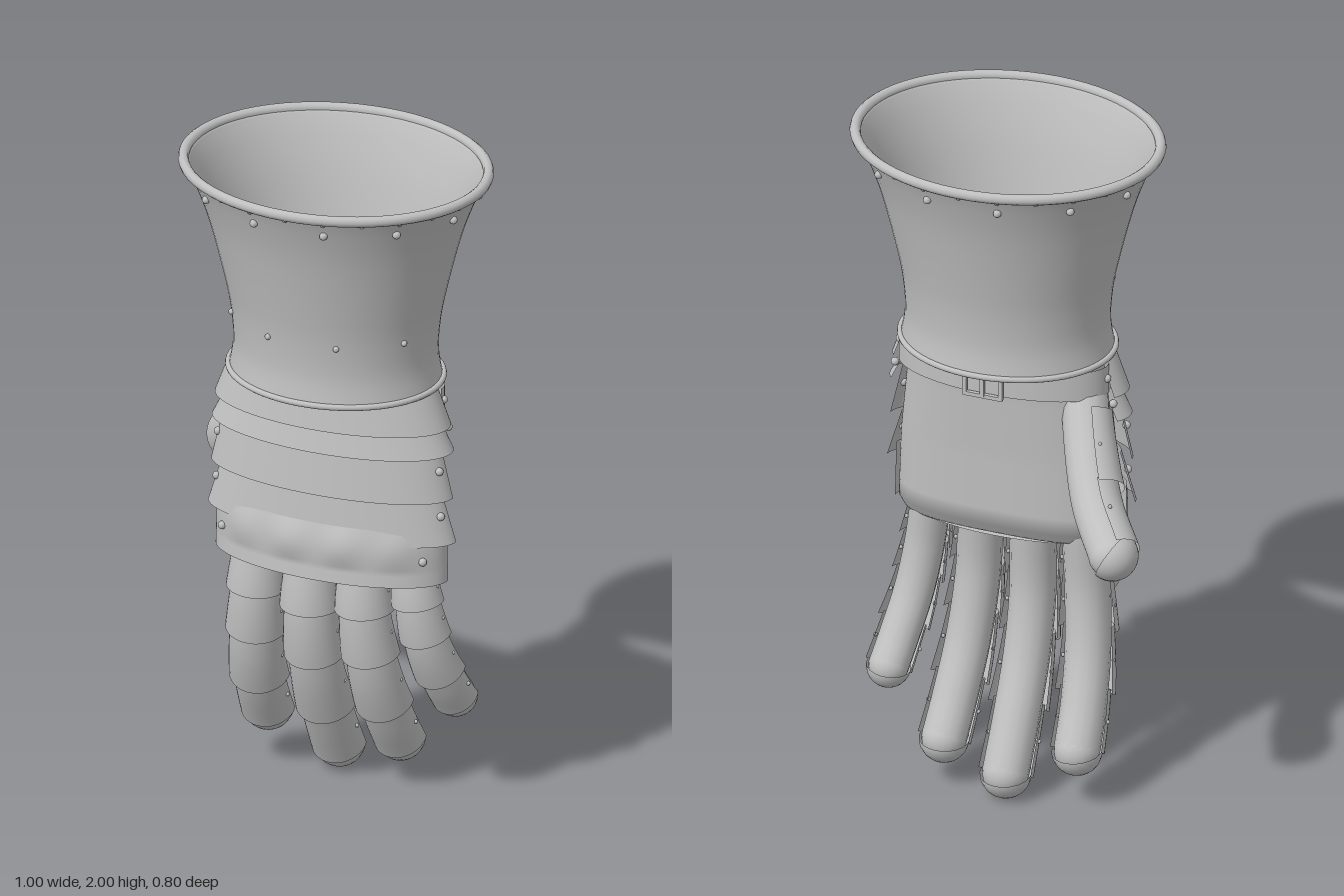
import * as THREE from 'three';
import { ParametricGeometry } from 'three/addons/geometries/ParametricGeometry.js';

const steel = new THREE.MeshStandardMaterial({ color: 0xc0c0c0, side: THREE.DoubleSide });
steel.name = 'steel';
const CX = 0.037; // centre of the cuff and hand in x
const V = (x, y, z) => new THREE.Vector3(x, y, z);

function add(parent, name, geometry, x = 0, y = 0, z = 0) {
  const m = new THREE.Mesh(geometry, steel);
  m.name = name;
  m.position.set(x, y, z);
  parent.add(m);
  return m;
}

function group(parent, name) {
  const g = new THREE.Group();
  g.name = name;
  parent.add(g);
  return g;
}

const rivetGeo = new THREE.SphereGeometry(1, 10, 8);
function rivet(parent, x, y, z, r = 0.012) {
  add(parent, 'rivet', rivetGeo, x, y, z).scale.setScalar(r);
}

// Flared elliptical cuff with rolled edges and rivets
function buildCuff(root) {
  const cuff = group(root, 'cuff');
  const depth = 0.835, cz = 0.018;
  const outer = new THREE.SplineCurve([[0.31, 1.35], [0.299, 1.42], [0.302, 1.5], [0.318, 1.6],
    [0.368, 1.8], [0.411, 1.92], [0.442, 1.984]].map(p => new THREE.Vector2(...p))).getPoints(24);
  const inner = outer.map(p => new THREE.Vector2(p.x - 0.012, p.y)).reverse();
  add(cuff, 'cuffWall', new THREE.LatheGeometry([...outer, ...inner], 64), CX, 0, cz).scale.z = depth;
  for (const [r, t, y] of [[0.443, 0.016, 1.984], [0.313, 0.009, 1.35]]) {
    const ring = new THREE.TorusGeometry(r, t, 10, 64).rotateX(Math.PI / 2);
    add(cuff, 'rolledEdge', ring, CX, y, cz).scale.z = depth;
  }
  const stud = (deg, r, y, size) => {
    const a = THREE.MathUtils.degToRad(deg);
    rivet(cuff, CX + r * Math.sin(a), y, cz + r * depth * Math.cos(a), size);
  };
  for (let i = 0; i < 12; i++) stud(15 + i * 30, 0.416, 1.925, 0.012);
  for (let i = 0; i < 24; i++) stud(i * 15, 0.435, 1.966, 0.007);
  for (const d of [-60, -20, 20, 60]) stud(d, 0.308, 1.53, 0.009);
}

// Rounded, open-topped palm closed at the finger roots
function buildPalm(root) {
  const palm = group(root, 'palm');
  const rows = [[0.758, 0.29, 0.1], [0.768, 0.318, 0.128], [0.8, 0.332, 0.147],
    [1.0, 0.325, 0.15], [1.2, 0.305, 0.16], [1.335, 0.29, 0.172]];
  const sp = (c, p) => Math.sign(c) * Math.pow(Math.abs(c), p);
  const at = (u, v, out) => {
    const f = Math.min(v * 5, 4.9999), i = Math.floor(f), t = f - i;
    const [y, rx, rz] = rows[i].map((a, k) => a + (rows[i + 1][k] - a) * t);
    const a = Math.PI * u;
    out.set(CX - rx * sp(Math.cos(a), 0.7), y, 0.05 - rz * sp(Math.sin(a), 0.7));
  };
  add(palm, 'palmShell', new ParametricGeometry(at, 40, 20));
  const base = new THREE.CircleGeometry(1, 40).rotateX(-Math.PI / 2);
  add(palm, 'knuckleBase', base, CX, 0.765, 0.04).scale.set(0.32, 1, 0.13);
}

// Overlapping curved plates over the back of the hand
function buildHandPlates(root) {
  const plates = group(root, 'handPlates');
  const zc = 0.04;
  // top y, bottom y, top rx, bottom rx, top rz, bottom rz, half wrap angle, knuckle bulge
  const lames = [
    [1.35, 1.235, 0.315, 0.358, 0.143, 0.162, 1.9, 0],
    [1.25, 1.16, 0.322, 0.367, 0.135, 0.155, 1.9, 0],
    [1.18, 1.02, 0.333, 0.371, 0.12, 0.138, 1.57, 0],
    [1.035, 0.885, 0.335, 0.381, 0.118, 0.133, 1.57, 0],
    [0.93, 0.76, 0.352, 0.356, 0.13, 0.15, 1.57, 0.016],
  ];
  for (const [y0, y1, rx0, rx1, rz0, rz1, wrap, bulge] of lames) {
    const at = (u, v, out) => {
      const a = (u * 2 - 1) * wrap;
      const rx = rx0 + (rx1 - rx0) * v, x = CX + rx * Math.sin(a);
      const knuckle = bulge * Math.sin(Math.PI * Math.min(1, v * 1.4)) *
        Math.max(0, Math.cos(a)) * (0.75 + 0.25 * Math.cos((x + 0.04) * 39));
      out.set(x, y0 + (y1 - y0) * v, zc + (rz0 + (rz1 - rz0) * v) * Math.cos(a) + knuckle);
    };
    add(plates, 'handPlate', new ParametricGeometry(at, 48, 10));
  }
  for (const s of [-1, 1]) {
    rivet(plates, CX + s * 0.318, 1.295, -0.015);
    rivet(plates, CX + s * 0.335, 1.215, -0.01);
    rivet(plates, CX + s * 0.342, 1.11, 0.07);
    rivet(plates, CX + s * 0.346, 0.97, 0.07);
    rivet(plates, CX + s * 0.31, 0.84, 0.115);
  }
}

// Wrist strap round the palm side with a square buckle
function buildStrap(root) {
  const strap = group(root, 'wristStrap');
  const at = (u, v, out) => {
    const a = (u * 2 - 1) * 1.65;
    out.set(CX + 0.318 * Math.sin(a), 1.245 + 0.09 * v, -0.01 - 0.14 * Math.cos(a));
  };
  add(strap, 'strapBand', new ParametricGeometry(at, 40, 1));
  for (const s of [-1, 1]) {
    add(strap, 'buckleBar', new THREE.BoxGeometry(0.12, 0.012, 0.012), 0.04, 1.29 + s * 0.045, -0.16);
    add(strap, 'buckleSide', new THREE.BoxGeometry(0.012, 0.1, 0.012), 0.04 + s * 0.055, 1.29, -0.16);
  }
  add(strap, 'bucklePin', new THREE.BoxGeometry(0.012, 0.09, 0.01), 0.04, 1.29, -0.163);
}

// A rounded finger along a path, with flared half-round plates on its outer side
function buildFinger(root, name, points, radius, outward, lames) {
  const finger = group(root, name);
  const curve = new THREE.CatmullRomCurve3(points.map(p => V(...p)));
  const frame = t => {
    const c = curve.getPointAt(t), tan = curve.getTangentAt(t);
    const n = outward.clone().addScaledVector(tan, -outward.dot(tan)).normalize();
    return { c, n, b: tan.clone().cross(n) };
  };
  add(finger, 'fingerTube', new THREE.TubeGeometry(curve, 28, radius, 16));
  add(finger, 'fingerTip', new THREE.SphereGeometry(radius, 20, 14), ...points.at(-1));
  const cap = add(finger, 'fingerRoot', new THREE.CircleGeometry(radius, 16), ...points[0]);
  cap.lookAt(V(...points[0]).sub(curve.getTangentAt(0)));
  lames.forEach(([t0, t1], i) => {
    const last = i === lames.length - 1;
    const r0 = radius * 1.12, r1 = radius * (last ? 1.2 : 1.34);
    const at = (u, v, out) => {
      const { c, n, b } = frame(t0 + (t1 - t0) * v);
      const a = (u * 2 - 1) * 1.7, r = r0 + (r1 - r0) * v;
      out.copy(c).addScaledVector(n, r * Math.cos(a)).addScaledVector(b, r * Math.sin(a));
    };
    add(finger, 'fingerPlate', new ParametricGeometry(at, 20, 8));
    const { c, n, b } = frame((t0 + t1) / 2);
    for (const s of [-1, 1]) {
      const p = c.clone().addScaledVector(b, s * radius * 1.18).addScaledVector(n, radius * 0.1);
      rivet(finger, p.x, p.y, p.z, 0.006);
    }
  });
  // Domed plate over the fingertip
  const { c, n } = frame(1);
  const dome = new THREE.SphereGeometry(radius * 1.11, 20, 8, 0, Math.PI * 2, 0, Math.PI / 2);
  const aim = n.clone().multiplyScalar(0.75).add(curve.getTangentAt(1)).normalize();
  add(finger, 'tipPlate', dome, c.x, c.y, c.z).quaternion.setFromUnitVectors(V(0, 1, 0), aim);
}

export function createModel() {
  const root = new THREE.Group();
  root.name = 'gauntlet';
  buildCuff(root);
  buildPalm(root);
  buildHandPlates(root);
  buildStrap(root);

  const lames = [[0.08, 0.27], [0.25, 0.48], [0.46, 0.75], [0.73, 1]];
  const front = V(0, 0, 1);
  buildFinger(root, 'indexFinger', [[-0.205, 0.8, 0], [-0.213, 0.6, 0.005], [-0.228, 0.42, -0.03],
    [-0.24, 0.28, -0.09], [-0.247, 0.168, -0.155]], 0.066, front, lames);
  buildFinger(root, 'middleFinger', [[-0.045, 0.8, 0], [-0.045, 0.57, 0.005], [-0.045, 0.38, -0.04],
    [-0.045, 0.2, -0.125], [-0.045, 0.075, -0.195]], 0.067, front, lames);
  buildFinger(root, 'ringFinger', [[0.115, 0.8, 0], [0.122, 0.6, 0.005], [0.135, 0.4, -0.035],
    [0.146, 0.24, -0.11], [0.152, 0.137, -0.175]], 0.065, front, lames);
  buildFinger(root, 'littleFinger', [[0.265, 0.8, 0], [0.285, 0.65, 0], [0.305, 0.51, -0.03],
    [0.325, 0.39, -0.09], [0.336, 0.315, -0.142]], 0.058, front, lames);
  buildFinger(root, 'thumb', [[-0.205, 1.25, 0], [-0.26, 1.115, -0.105], [-0.33, 0.995, -0.215],
    [-0.425, 0.908, -0.322]], 0.068, V(-0.7, -0.1, 0.65), [[0.15, 0.6], [0.57, 1]]);
  return root;
}
